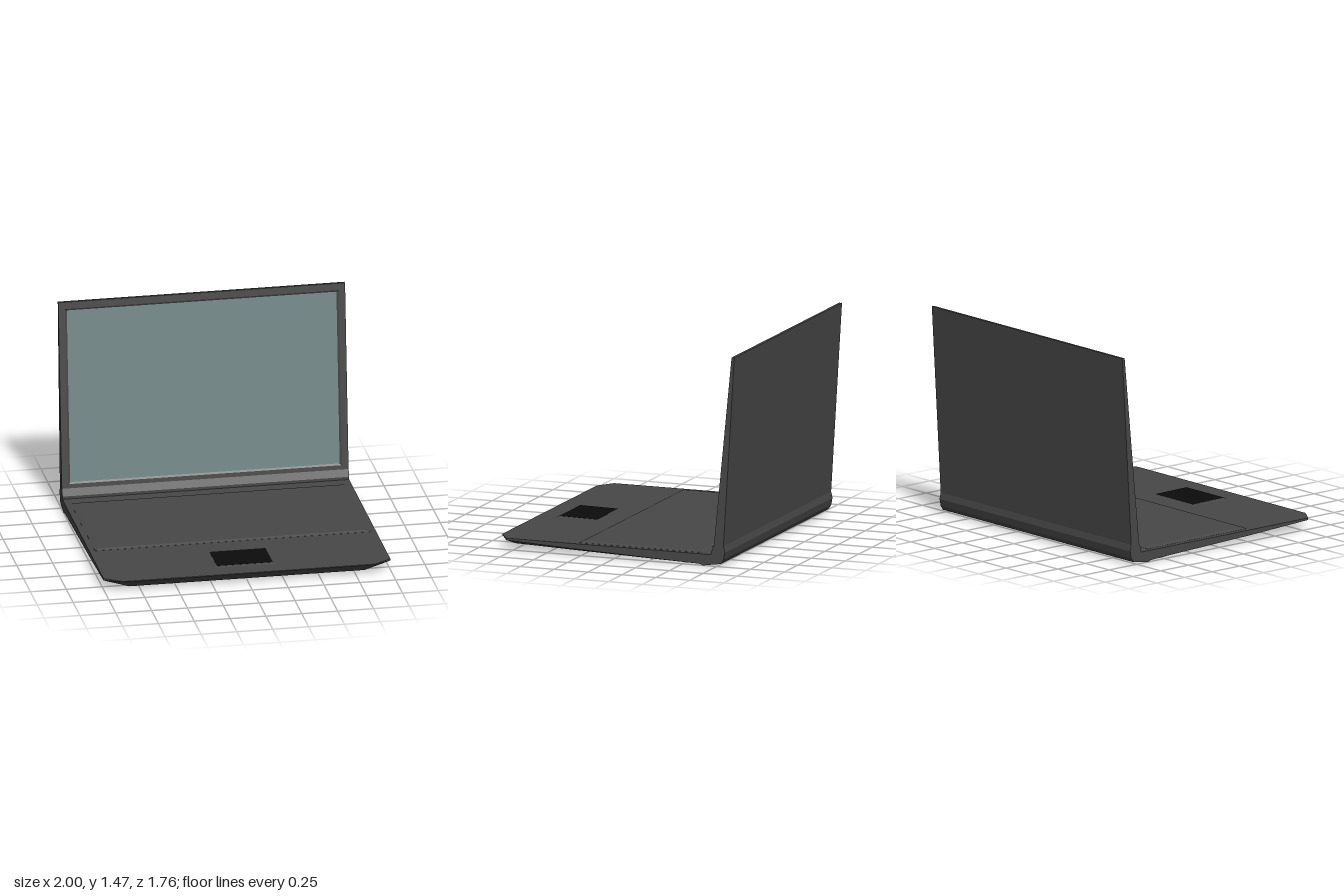
import * as THREE from 'three';

const material = (color) => new THREE.MeshStandardMaterial({ color, flatShading: true });

// Skin a list of equal-length loops; loops run counter-clockwise seen from the last one.
function loft(loops, capped = true) {
  const n = loops[0].length;
  const index = [];
  for (let i = 0; i < loops.length - 1; i++) {
    for (let j = 0; j < n; j++) {
      const a = i * n + j, b = i * n + (j + 1) % n;
      index.push(a, b, b + n, a, b + n, a + n);
    }
  }
  if (capped) {
    const end = (loops.length - 1) * n;
    for (let j = 1; j < n - 1; j++) {
      index.push(0, j + 1, j, end, end + j, end + j + 1);
    }
  }
  const geometry = new THREE.BufferGeometry();
  geometry.setAttribute('position', new THREE.Float32BufferAttribute(loops.flat(2), 3));
  geometry.setIndex(index);
  geometry.computeVertexNormals();
  return geometry;
}

// Horizontal rectangle whose front and back edges may differ in height
const flatRect = (w, front, back, yFront, yBack = yFront) => [
  [w, yFront, front], [w, yBack, back], [-w, yBack, back], [-w, yFront, front],
];

// Upright rectangle in the lid's own plane
const uprightRect = (w, low, high, z) => [
  [w, low, z], [w, high, z], [-w, high, z], [-w, low, z],
];

export function createModel() {
  const model = new THREE.Group();
  model.name = 'laptop';
  const casing = material(0x484848);
  const add = (name, geometry, mat, parent = model) => {
    const mesh = new THREE.Mesh(geometry, mat);
    mesh.name = name;
    parent.add(mesh);
    return mesh;
  };

  // Base: underside bevels widen towards the front, with clipped front corners
  const baseSection = (z, top, edge, bottom, low, lowZ = z) => [
    [top, 0.08, z], [-top, 0.08, z], [-top, edge, z],
    [-bottom, low, lowZ], [bottom, low, lowZ], [top, edge, z],
  ];
  add('base', loft([
    baseSection(-0.62, 1, 0.012, 1, 0.01),
    baseSection(0.28, 1, 0.042, 0.89, 0.01),
    baseSection(0.8, 1, 0.066, 0.82, 0.01),
    baseSection(0.88, 0.88, 0.077, 0.82, 0.076),
  ]), casing);

  // Raised keyboard deck
  add('keyboardDeck', loft([
    flatRect(0.96, 0.28, -0.62, 0.078),
    flatRect(0.96, 0.28, -0.62, 0.081),
    flatRect(0.93, 0.26, -0.6, 0.09),
  ]), casing);

  // Touchpad on a slightly tilted bevelled mount
  add('touchpadMount', loft([
    flatRect(0.225, 0.75, 0.43, 0.079),
    flatRect(0.195, 0.728, 0.452, 0.086, 0.082),
  ]), casing);
  add('touchpad', loft([
    flatRect(0.195, 0.728, 0.452, 0.084, 0.08),
    flatRect(0.195, 0.728, 0.452, 0.087, 0.083),
  ]), material(0x0c0c0c));

  // Hinge barrel and lid back, one side profile (z, y) swept across the width
  const profile = [
    [-0.62, 0.01], [-0.65, 0], [-0.78, 0.02], [-0.8, 0.05], [-0.81, 0.1],
    [-0.8, 0.145], [-0.88, 1.47], [-0.872, 1.47], [-0.742, 0.15],
    [-0.73, 0.15], [-0.71, 0.1], [-0.71, 0.08], [-0.62, 0.08],
  ];
  const lidGeometry = new THREE.ExtrudeGeometry(
    new THREE.Shape(profile.map(([z, y]) => new THREE.Vector2(z, y))),
    { depth: 2, bevelEnabled: false },
  );
  lidGeometry.rotateY(-Math.PI / 2).translate(1, 0, 0);
  add('lidAndHinge', lidGeometry, casing);

  // Display: bezel with a sloped inner lip and recessed screen
  const display = new THREE.Group();
  display.name = 'display';
  display.position.set(0, 0.15, -0.73);
  display.rotation.x = -Math.atan2(0.13, 1.32);
  model.add(display);
  const height = Math.hypot(0.13, 1.32);
  add('bezel', loft([
    uprightRect(1, 0, height, -0.012),
    uprightRect(1, 0, height, 0),
    uprightRect(0.955, 0.03, 1.277, 0),
    uprightRect(0.94, 0.042, 1.265, -0.008),
  ], false), casing, display);
  const screen = add('screen', new THREE.PlaneGeometry(1.88, 1.223), material(0x728787), display);
  screen.position.set(0, 0.6535, -0.008);

  return model;
}
